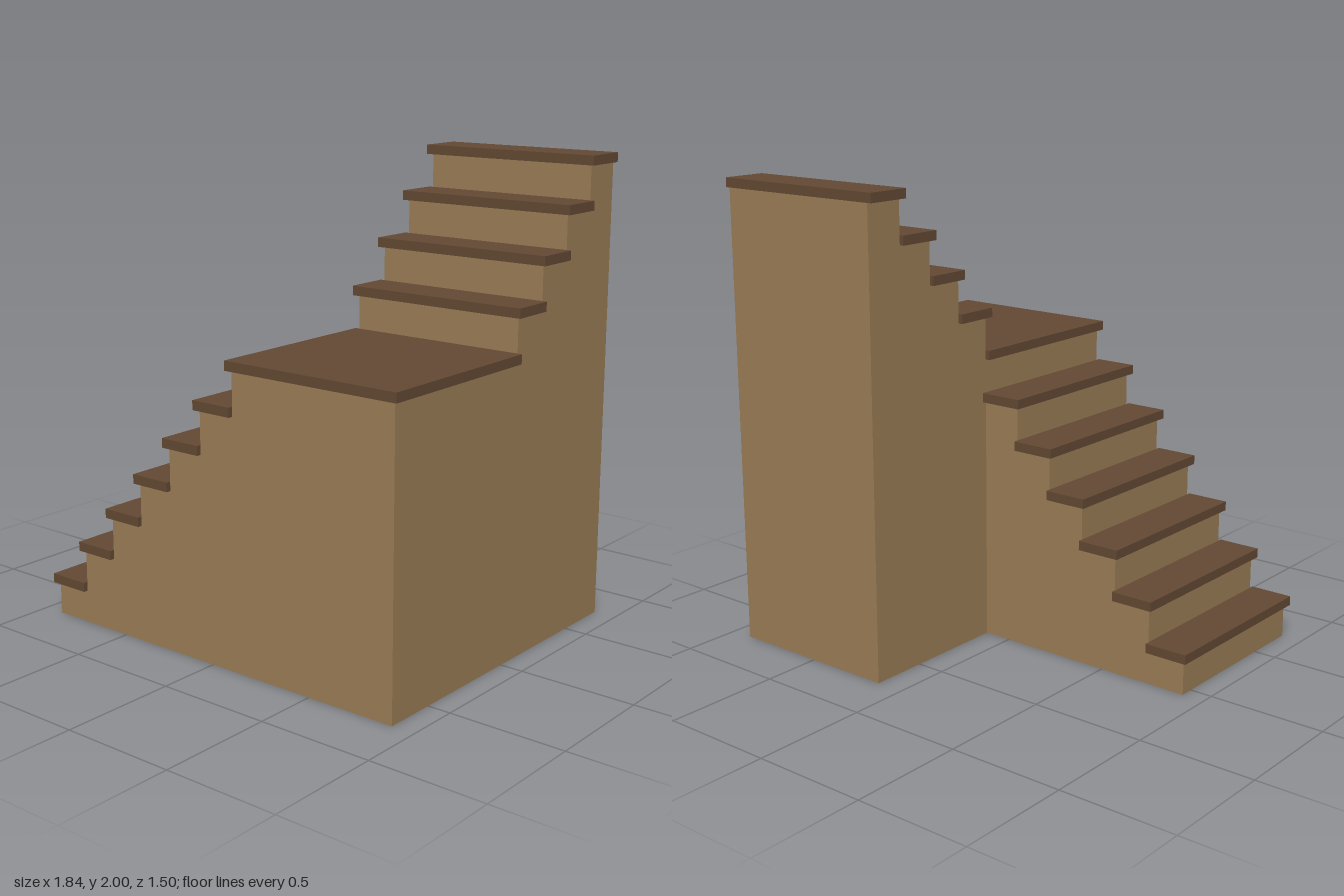
import * as THREE from 'three';

const RISE = 2 / 11, RUN = 0.171, THICK = 0.04, NOSE = 0.02;
const LOWER = 6, UPPER = 4;
const X0 = -0.903, X1 = 0.9;            // outer faces of the base
const Z0 = -0.748, Z1 = 0.729;          // back and front faces of the base
const XL = X0 + LOWER * RUN;            // where the landing starts
const ZL = -0.06;                       // where the upper flight starts

export function createModel() {
  const group = new THREE.Group();
  group.name = 'cornerStaircase';
  const wood = new THREE.MeshStandardMaterial({ color: 0x9c7f57 });
  wood.name = 'light wood';
  const treadWood = new THREE.MeshStandardMaterial({ color: 0x644a34 });
  treadWood.name = 'dark wood';

  const add = (name, geometry, material) => {
    const mesh = new THREE.Mesh(geometry, material);
    mesh.name = name;
    group.add(mesh);
  };
  // Slab given by its extents, with its top at the given height
  const slab = (name, xa, xb, top, za, zb) => {
    const g = new THREE.BoxGeometry(xb - xa, THICK, zb - za);
    g.translate((xa + xb) / 2, top - THICK / 2, (za + zb) / 2);
    add(name, g, treadWood);
  };
  const extrude = (points, depth) => new THREE.ExtrudeGeometry(
    new THREE.Shape(points.map(([x, y]) => new THREE.Vector2(x, y))),
    { depth, bevelEnabled: false });

  // Lower flight: stepped profile climbing along x
  const lower = [[XL, 0], [X0, 0]];
  for (let i = 0; i < LOWER; i++) {
    const y = (i + 1) * RISE - THICK, x = X0 + i * RUN;
    lower.push([x, y], [x + RUN, y]);
    slab(`lowerTread${i + 1}`, x - NOSE, x + RUN, y + THICK, ZL - NOSE, Z1 + NOSE);
  }
  add('lowerFlightBase', extrude(lower, Z1 - ZL).translate(0, 0, ZL), wood);

  // Landing slab at the turn
  const landing = (LOWER + 1) * RISE;
  slab('landing', XL - NOSE, X1 + NOSE, landing, ZL, Z1 + NOSE);

  // Upper flight and landing base: stepped profile climbing towards the back
  const upper = [[Z0, 0], [Z1, 0], [Z1, landing - THICK], [ZL, landing - THICK]];
  for (let i = 0; i < UPPER; i++) {
    const y = landing + (i + 1) * RISE - THICK, z = ZL - i * RUN;
    const back = i === UPPER - 1 ? Z0 : z - RUN;
    upper.push([z, y], [back, y]);
    slab(`upperTread${i + 1}`, XL - NOSE, X1 + NOSE, y + THICK, back, z + NOSE);
  }
  add('upperFlightBase',
    extrude(upper, X1 - XL).rotateY(-Math.PI / 2).translate(X1, 0, 0), wood);

  return group;
}
